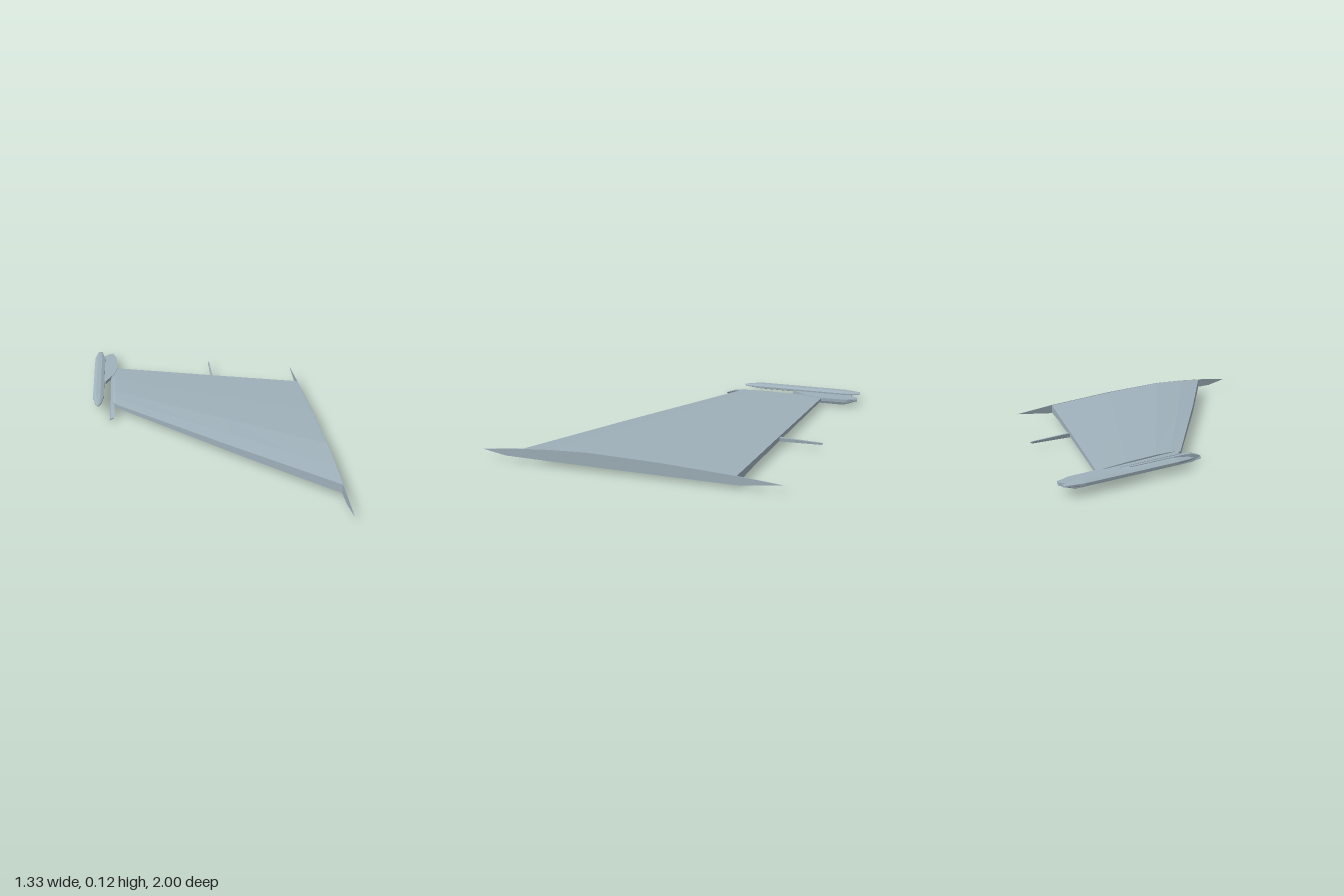
import * as THREE from 'three';

// Closed flat-shaded skin through rings of [x, y, z] points
function loft(name, rings, material) {
  const pos = [];
  const n = rings[0].length;
  const tri = (a, b, c) => pos.push(...a, ...b, ...c);
  for (let i = 0; i < rings.length - 1; i++) {
    for (let j = 0; j < n; j++) {
      const k = (j + 1) % n;
      const a = rings[i][j], b = rings[i][k], c = rings[i + 1][k], d = rings[i + 1][j];
      tri(a, b, c);
      tri(a, c, d);
    }
  }
  const last = rings[rings.length - 1];
  for (let j = 1; j < n - 1; j++) {
    tri(rings[0][0], rings[0][j + 1], rings[0][j]);
    tri(last[0], last[j], last[j + 1]);
  }
  // Turn the skin outward when the rings run the other way
  let volume = 0;
  const v = (i) => new THREE.Vector3().fromArray(pos, i);
  for (let i = 0; i < pos.length; i += 9) volume += v(i).dot(v(i + 3).cross(v(i + 6)));
  if (volume < 0) {
    for (let i = 0; i < pos.length; i += 9) {
      for (let k = 0; k < 3; k++) [pos[i + 3 + k], pos[i + 6 + k]] = [pos[i + 6 + k], pos[i + 3 + k]];
    }
  }
  const geometry = new THREE.BufferGeometry();
  geometry.setAttribute('position', new THREE.Float32BufferAttribute(pos, 3));
  geometry.computeVertexNormals();
  const mesh = new THREE.Mesh(geometry, material);
  mesh.name = name;
  return mesh;
}

export function createModel() {
  const group = new THREE.Group();
  group.name = 'wing';
  const grey = new THREE.MeshStandardMaterial({ color: 0x9fb1bb, flatShading: true, side: THREE.DoubleSide });
  grey.name = 'blue grey';

  // Main panel: x, leading z, trailing z, lower front y, lower rear y
  const stations = [
    [0.66, 0.77, -0.41, 0.042, 0.026],
    [0.45, 0.593, -0.472, 0.039, 0.036],
    [0.15, 0.34, -0.56, 0.038, 0.036],
    [-0.52, -0.245, -0.76, 0.036, 0.033],
  ];
  // Upper surface: chord fraction, height at root, height at tip
  const upper = [
    [0, 0.096, 0.059], [0.13, 0.109, 0.064], [0.31, 0.117, 0.066],
    [0.65, 0.104, 0.061], [1, 0.078, 0.051],
  ];
  const panelRings = stations.map(([x, lead, trail, lowFront, lowRear]) => {
    const t = (0.66 - x) / 1.18;
    const ring = upper.map(([f, root, tip]) => [
      x, THREE.MathUtils.lerp(root, tip, t), THREE.MathUtils.lerp(lead, trail, f),
    ]);
    ring.push([x, lowRear, trail], [x, lowFront, lead]);
    return ring;
  });
  group.add(loft('wingPanel', panelRings, grey));

  // Thin root plate, longer than the panel at both ends
  const rootOutline = [
    [1, 0.07], [0.82, 0.093], [0.62, 0.109], [0.4, 0.118], [0, 0.106],
    [-0.41, 0.08], [-0.65, 0.056], [-0.41, 0.026], [0.2, 0.033], [0.87, 0.044],
  ];
  const rootRings = [0.66, 0.663].map((x) => rootOutline.map(([z, y]) => [x, y, z]));
  group.add(loft('rootPlate', rootRings, grey));

  // Slim fairing below the trailing edge
  const fairing = [[-0.36, 0.001, 0.034, 0.037], [-0.57, 0.009, 0.031, 0.056], [-0.6, 0.006, 0.031, 0.054],
    [-0.8, 0.005, 0.035, 0.046], [-0.815, 0.002, 0.038, 0.044]];
  group.add(loft('trailingFairing', fairing.map(([z, w, lo, hi]) => [
    [0.117 - w, hi, z], [0.117 + w, hi, z], [0.117 + w * 0.7, lo, z], [0.117 - w * 0.7, lo, z],
  ]), grey));

  // Eight-sided tip pod: z, half width, half height, centre y
  const pod = [[-0.25, 0.006, 0.004, 0.052], [-0.28, 0.02, 0.009, 0.053], [-0.36, 0.034, 0.016, 0.055],
    [-0.9, 0.034, 0.016, 0.055], [-1, 0.015, 0.006, 0.059]];
  group.add(loft('tipPod', pod.map(([z, w, h, y]) => Array.from({ length: 8 }, (_, i) => {
    const a = ((i + 0.5) / 8) * Math.PI * 2;
    const s = 1 / Math.cos(Math.PI / 8);
    return [-0.633 + w * s * Math.cos(a), y + h * s * Math.sin(a), z];
  })), grey));

  // Flat bracket joining the pod to the panel
  const bracket = [[-0.57, -0.602, -0.59], [-0.67, -0.61, -0.535], [-0.76, -0.61, -0.515],
    [-0.92, -0.61, -0.52], [-0.95, -0.605, -0.535], [-0.985, -0.565, -0.545]];
  group.add(loft('podBracket', bracket.map(([z, x0, x1]) => [
    [x0, 0.052, z], [x1, 0.054, z], [x1, 0.034, z], [x0, 0.034, z],
  ]), grey));

  // Leaning lower rail under the wing tip: z, bottom, top
  const rail = [[-0.14, 0.008, 0.024], [-0.2, 0, 0.046], [-0.27, 0, 0.05], [-0.9, 0, 0.05], [-0.975, 0.03, 0.05]];
  group.add(loft('lowerRail', rail.map(([z, lo, hi]) => [
    [-0.562, lo, z], [-0.549, lo + 0.005, z], [-0.532, hi, z], [-0.555, hi - 0.002, z],
  ]), grey));

  // Small closing piece between panel tip and rail
  group.add(loft('tipCap', [[-0.52, -0.245, -0.76, 0.062], [-0.54, -0.28, -0.7, 0.052]].map(([x, a, b, top]) => [
    [x, top, a], [x, 0.05, b], [x, 0.034, b], [x, 0.036, a],
  ]), grey));

  return group;
}
